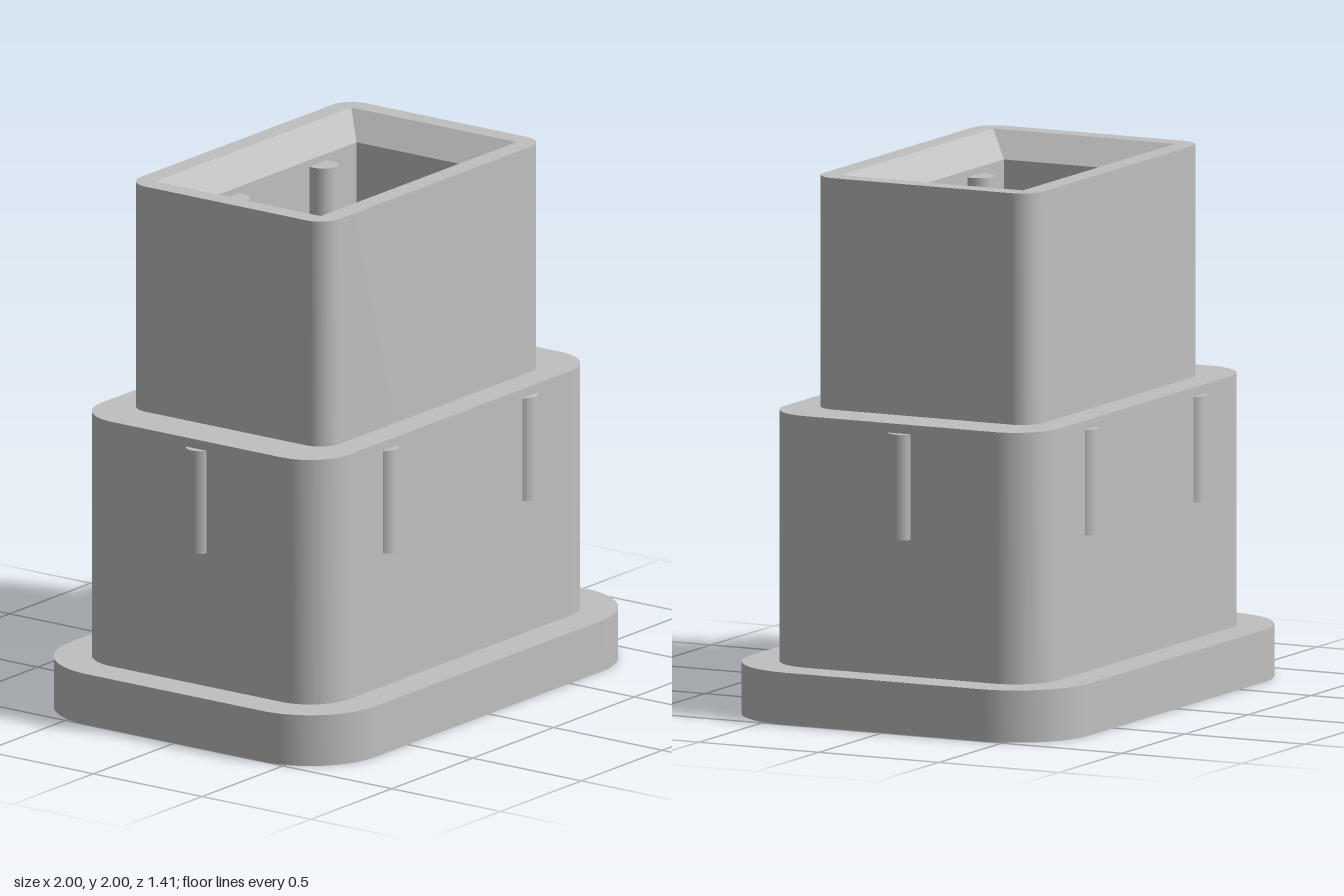
import * as THREE from 'three';
import { toCreasedNormals } from 'three/addons/utils/BufferGeometryUtils.js';

const plastic = new THREE.MeshStandardMaterial({ color: 0xc0c0c0 });
plastic.name = 'grey plastic';

// Rectangle outline centred on the origin, with optional rounded corners
function rectangle(target, hx, hz, r = 0) {
  if (r === 0) {
    target.moveTo(-hx, -hz).lineTo(hx, -hz).lineTo(hx, hz).lineTo(-hx, hz).closePath();
    return target;
  }
  target.moveTo(-hx + r, -hz);
  target.lineTo(hx - r, -hz).absarc(hx - r, -hz + r, r, -Math.PI / 2, 0);
  target.lineTo(hx, hz - r).absarc(hx - r, hz - r, r, 0, Math.PI / 2);
  target.lineTo(-hx + r, hz).absarc(-hx + r, hz - r, r, Math.PI / 2, Math.PI);
  target.lineTo(-hx, -hz + r).absarc(-hx + r, -hz + r, r, Math.PI, Math.PI * 1.5);
  return target;
}

// Upright prism from y0 to y1, optionally with a rectangular hole [hx, hz]
function prism(name, hx, hz, r, y0, y1, hole) {
  const shape = rectangle(new THREE.Shape(), hx, hz, r);
  if (hole) shape.holes.push(rectangle(new THREE.Path(), ...hole));
  const extruded = new THREE.ExtrudeGeometry(shape, { depth: y1 - y0, bevelEnabled: false, curveSegments: 16 });
  extruded.rotateX(-Math.PI / 2).translate(0, y0, 0);
  const mesh = new THREE.Mesh(toCreasedNormals(extruded, 0.5), plastic);
  mesh.name = name;
  return mesh;
}

function rod(name, x, z, r, y0, y1) {
  const mesh = new THREE.Mesh(new THREE.CylinderGeometry(r, r, y1 - y0, 32), plastic);
  mesh.position.set(x, (y0 + y1) / 2, z);
  mesh.name = name;
  return mesh;
}

// Four sloped faces leading from the rim into the socket
function chamfer(name, top, bottom, y0, y1) {
  const ring = ([hx, hz], y) => [[-hx, y, -hz], [-hx, y, hz], [hx, y, hz], [hx, y, -hz]];
  const hi = ring(top, y1), lo = ring(bottom, y0);
  const points = [];
  for (let i = 0; i < 4; i++) {
    const j = (i + 1) % 4;
    points.push(...hi[i], ...lo[i], ...lo[j], ...hi[i], ...lo[j], ...hi[j]);
  }
  const geometry = new THREE.BufferGeometry();
  geometry.setAttribute('position', new THREE.Float32BufferAttribute(points, 3));
  geometry.computeVertexNormals();
  const sloped = plastic.clone();
  sloped.side = THREE.DoubleSide;
  const mesh = new THREE.Mesh(geometry, sloped);
  mesh.name = name;
  return mesh;
}

export function createModel() {
  const model = new THREE.Group();
  model.name = 'socketHousing';
  const mouth = [0.605, 0.38], cavity = [0.51, 0.285];

  // Stepped housing
  model.add(prism('baseFlange', 1, 0.703, 0.3, 0, 0.195));
  model.add(prism('body', 0.863, 0.57, 0.18, 0.195, 1.135));
  model.add(prism('collar', 0.682, 0.458, 0.09, 1.135, 2, mouth));

  // Socket interior with a chamfered mouth
  model.add(prism('socketWall', ...mouth, 0, 1.135, 1.905, cavity));
  model.add(chamfer('mouthChamfer', mouth, cavity, 1.905, 2));

  // Contact pins set into the long walls, and grip ribs on the body
  for (const s of [-1, 1]) {
    for (const x of [-1, 1]) {
      model.add(rod('contactPin', x * 0.272, s * 0.262, 0.057, 1.135, 1.88));
      model.add(rod('gripRib', x * 0.43, s * 0.546, 0.051, 0.705, 1.1));
    }
    model.add(rod('sideRib', s * 0.842, 0, 0.051, 0.705, 1.1));
  }
  return model;
}
